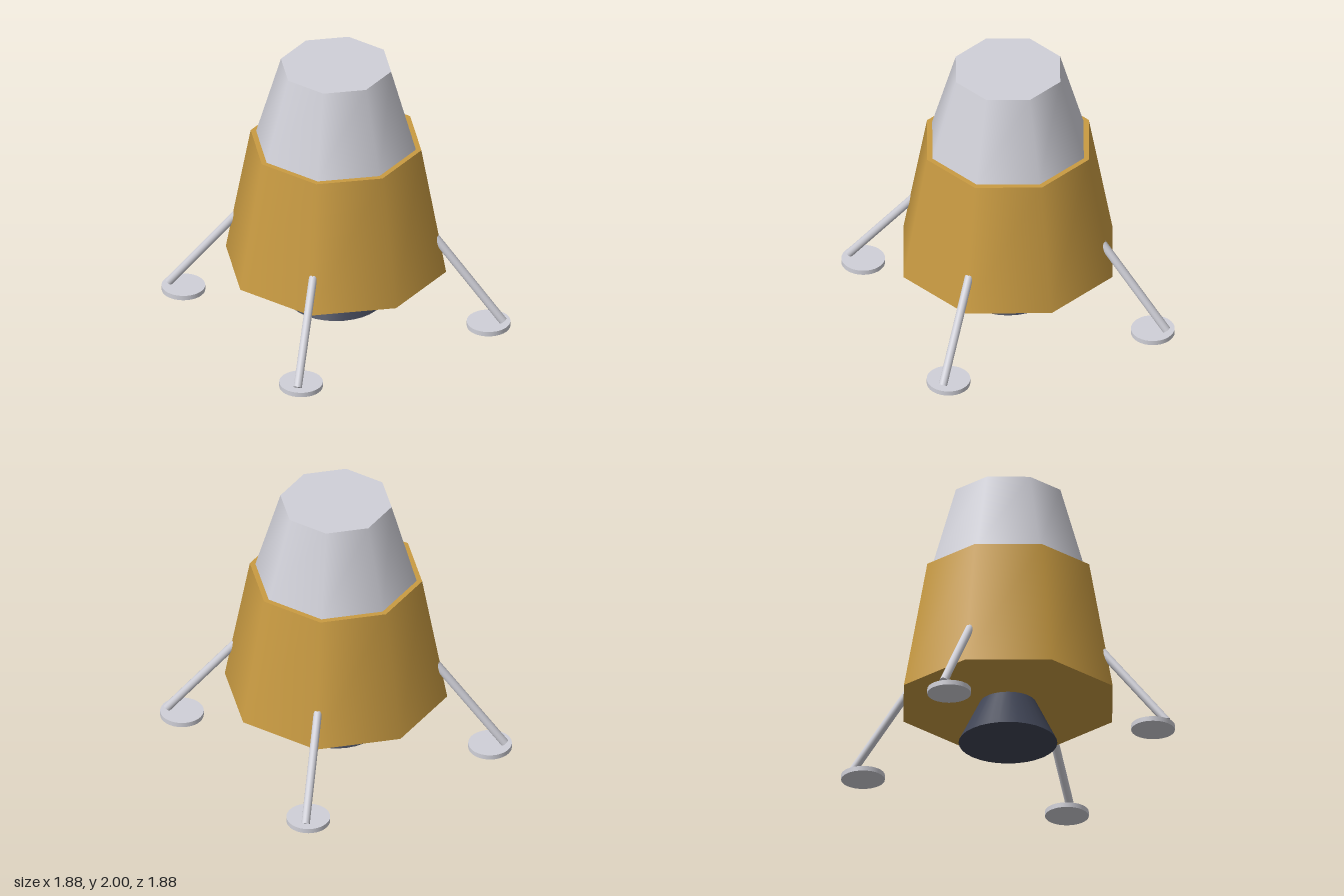
import * as THREE from 'three';

const paint = (name, color) => {
  const m = new THREE.MeshStandardMaterial({ color });
  m.name = name;
  return m;
};

export function createModel() {
  const silver = paint('silver', 0xd0d0d8);
  const gold = paint('gold foil', 0xc99b42);
  const dark = paint('dark nozzle', 0x404556);
  const model = new THREE.Group();
  model.name = 'lander';

  // Upright tapered drum between two heights
  const drum = (name, material, rTop, rBottom, y0, y1, sides, parent = model) => {
    const mesh = new THREE.Mesh(new THREE.CylinderGeometry(rTop, rBottom, y1 - y0, sides), material);
    mesh.name = name;
    mesh.position.y = (y0 + y1) / 2;
    parent.add(mesh);
    return mesh;
  };

  // Octagonal stages and engine bell
  drum('descentStage', gold, 0.62, 0.8, 0.4, 1.38, 8);
  drum('crewCabin', silver, 0.4, 0.58, 1.38, 2, 8);
  drum('engineNozzle', dark, 0.2, 0.35, 0.095, 0.4, 32);

  // Four diagonal legs, each a strut and a round foot pad
  const up = new THREE.Vector3(0, 1, 0);
  const hip = new THREE.Vector3(0, 0.69, 0.71);
  const ankle = new THREE.Vector3(0, 0.05, 1.213);
  const along = hip.clone().sub(ankle);
  for (let i = 0; i < 4; i++) {
    const leg = new THREE.Group();
    leg.name = 'leg' + (i + 1);
    leg.rotation.y = Math.PI / 4 + i * Math.PI / 2;

    const strut = new THREE.Mesh(new THREE.CylinderGeometry(0.03, 0.03, along.length(), 16), silver);
    strut.name = 'strut';
    strut.position.copy(hip).add(ankle).multiplyScalar(0.5);
    strut.quaternion.setFromUnitVectors(up, along.clone().normalize());
    leg.add(strut);

    drum('footPad', silver, 0.155, 0.155, 0, 0.036, 32, leg).position.z = 1.108;
    model.add(leg);
  }
  return model;
}
